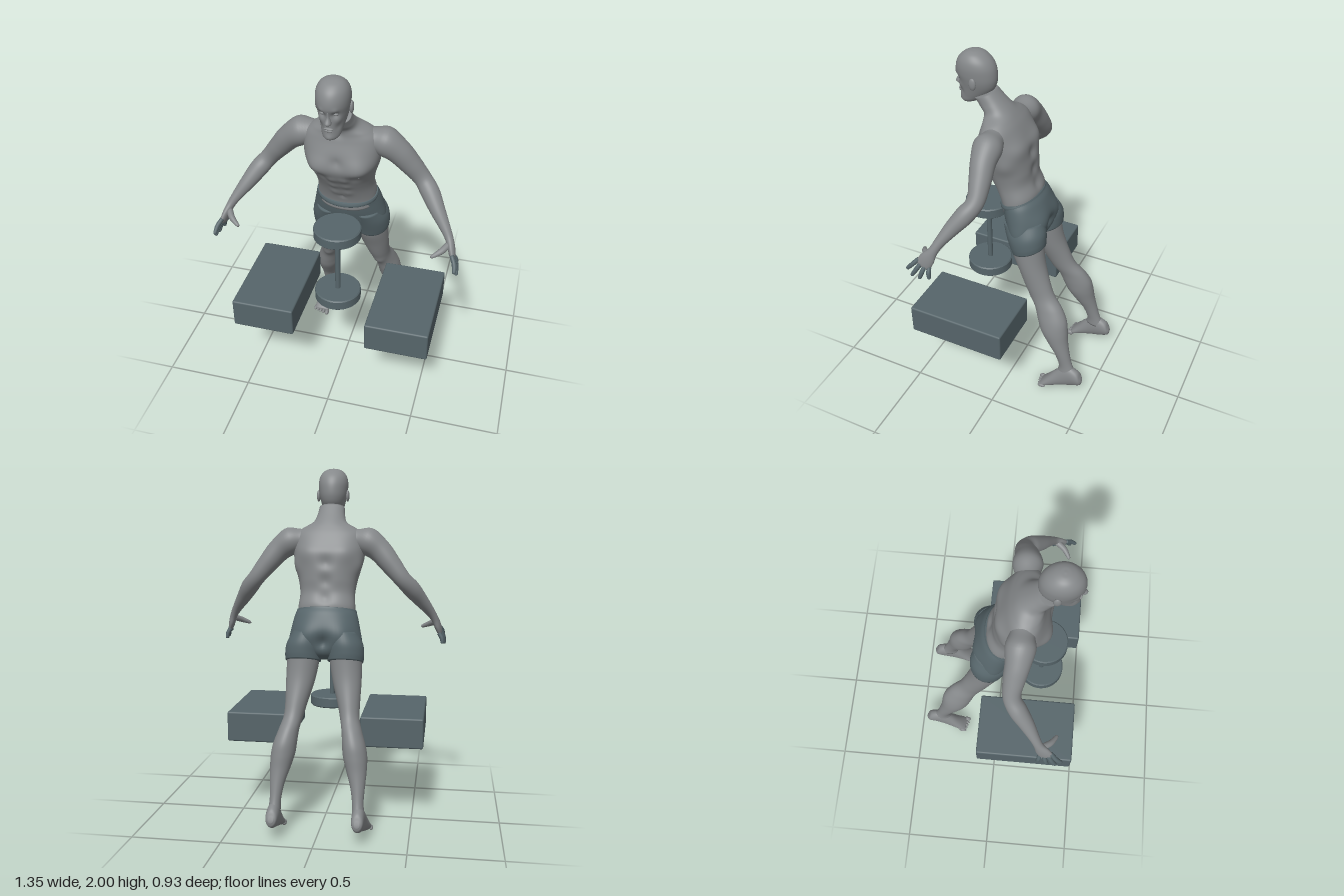
import * as THREE from 'three';
import { toCreasedNormals } from 'three/addons/utils/BufferGeometryUtils.js';
import { RoundedBoxGeometry } from 'three/addons/geometries/RoundedBoxGeometry.js';

const V = (x, y, z) => new THREE.Vector3(x, y, z);

// Smooth closed skin over rings { c: centre, u, v: half axes }; bumps are soft pushes [x, y, z, radius, amount]
function loft(rings, { sides = 32, steps = 6, bumps = [], power = 1 } = {}) {
  const curve = k => new THREE.CatmullRomCurve3(rings.map(r => r[k]), false, 'catmullrom', 0.5);
  const [C, U, W] = ['c', 'u', 'v'].map(curve);
  const count = (rings.length - 1) * steps;
  const pos = [], index = [];
  const soft = a => Math.sign(a) * Math.abs(a) ** power;
  for (let i = 0; i <= count; i++) {
    const t = i / count, c = C.getPoint(t), u = U.getPoint(t), v = W.getPoint(t);
    for (let j = 0; j < sides; j++) {
      const a = j / sides * Math.PI * 2;
      const d = u.clone().multiplyScalar(soft(Math.cos(a))).addScaledVector(v, soft(Math.sin(a)));
      const p = c.clone().add(d);
      let push = 0;
      for (const [x, y, z, r, amount] of bumps) {
        push += amount * Math.exp(-p.distanceToSquared(V(x, y, z)) / (r * r));
      }
      p.addScaledVector(d.normalize(), push);
      pos.push(p.x, p.y, p.z);
    }
  }
  const along = rings[1].c.clone().sub(rings[0].c);
  const flip = rings[0].u.clone().cross(rings[0].v).dot(along) < 0;
  const tri = (a, b, c) => flip ? index.push(a, c, b) : index.push(a, b, c);
  const first = pos.length / 3, last = first + 1;
  for (const r of [rings[0], rings[rings.length - 1]]) pos.push(r.c.x, r.c.y, r.c.z);
  for (let j = 0; j < sides; j++) {
    const k = (j + 1) % sides;
    for (let i = 0; i < count; i++) {
      const a = i * sides + j, b = i * sides + k;
      tri(a, b, b + sides);
      tri(a, b + sides, a + sides);
    }
    tri(first, k, j);
    tri(last, count * sides + j, count * sides + k);
  }
  const g = new THREE.BufferGeometry();
  g.setAttribute('position', new THREE.Float32BufferAttribute(pos, 3));
  g.setIndex(index);
  g.computeVertexNormals();
  return g;
}

// Rings from [centre x, half width, front z, front y, back z, back y]
const slices = (list, s = 1) => list.map(([x, w, zf, yf, zb, yb]) => ({
  c: V(x * s, (yf + yb) / 2, (zf + zb) / 2), u: V(w, 0, 0), v: V(0, (yf - yb) / 2, (zf - zb) / 2),
}));

// Rings square to a path of [x, y, z, half width, half thickness]
function limb(list, s = 1) {
  const pts = list.map(p => V(p[0] * s, p[1], p[2]));
  return pts.map((c, i) => {
    const t = pts[Math.min(i + 1, pts.length - 1)].clone().sub(pts[Math.max(i - 1, 0)]).normalize();
    const u = V(1, 0, 0).cross(t).normalize();
    const v = t.clone().cross(u);
    return { c, u: u.multiplyScalar(list[i][3]), v: v.multiplyScalar(list[i][4] ?? list[i][3]) };
  });
}

const both = list => list.flatMap(([x, ...r]) => x ? [[x, ...r], [-x, ...r]] : [[x, ...r]]);

export function createModel() {
  const model = new THREE.Group();
  const skin = new THREE.MeshStandardMaterial({ color: 0x85888a });
  skin.name = 'skin grey';
  const slate = new THREE.MeshStandardMaterial({ color: 0x56656a });
  slate.name = 'slate';
  const add = (name, geometry, material, x = 0, y = 0, z = 0) => {
    const m = new THREE.Mesh(geometry, material);
    m.name = name;
    m.position.set(x, y, z);
    model.add(m);
    return m;
  };
  const blob = (name, x, y, z, rx, ry, rz) =>
    add(name, new THREE.SphereGeometry(1, 20, 14), skin, x, y, z).scale.set(rx, ry, rz);

  // Torso and neck, with chest, belly, shoulder blade and spine relief
  add('torso', loft(slices([
    [0, 0.16, 0.12, 1.12, -0.075, 1.19], [0, 0.162, 0.128, 1.18, -0.075, 1.25],
    [0, 0.156, 0.16, 1.26, -0.047, 1.32], [0, 0.165, 0.2, 1.33, -0.043, 1.39],
    [0, 0.182, 0.245, 1.4, -0.035, 1.46], [0, 0.2, 0.265, 1.46, -0.02, 1.53],
    [0, 0.205, 0.255, 1.54, 0.005, 1.58], [0, 0.195, 0.235, 1.61, 0.035, 1.635],
    [0, 0.155, 0.228, 1.65, 0.06, 1.67], [0, 0.098, 0.235, 1.68, 0.09, 1.705],
    [0, 0.08, 0.262, 1.71, 0.135, 1.75], [0, 0.073, 0.29, 1.75, 0.185, 1.8],
  ]), { sides: 72, steps: 8, power: 0.9, bumps: both([
    [0.1, 1.47, 0.24, 0.06, 0.025], [0, 1.5, 0.27, 0.028, -0.014], [0.09, 1.395, 0.235, 0.035, -0.01],
    [0.035, 1.38, 0.24, 0.024, 0.007], [0.035, 1.32, 0.2, 0.024, 0.007], [0.035, 1.26, 0.165, 0.024, 0.007],
    [0, 1.225, 0.145, 0.012, -0.008], [0, 1.48, -0.03, 0.035, -0.015], [0, 1.38, -0.045, 0.035, -0.014],
    [0, 1.28, -0.055, 0.035, -0.012], [0.1, 1.53, 0.01, 0.06, 0.014], [0.17, 1.45, 0.05, 0.05, 0.012],
    [0, 1.655, 0.235, 0.02, -0.012],
  ]) }), skin);

  // Head
  add('head', loft(slices([
    [0, 0.022, 0.362, 1.7, 0.32, 1.705], [0, 0.044, 0.381, 1.715, 0.275, 1.725], [0, 0.056, 0.384, 1.75, 0.225, 1.76],
    [0, 0.068, 0.386, 1.8, 0.19, 1.8], [0, 0.078, 0.39, 1.84, 0.176, 1.84],
    [0, 0.084, 0.402, 1.88, 0.175, 1.88], [0, 0.085, 0.399, 1.92, 0.183, 1.92],
    [0, 0.077, 0.384, 1.955, 0.203, 1.955], [0, 0.058, 0.356, 1.982, 0.234, 1.982],
    [0, 0.032, 0.325, 1.996, 0.265, 1.996], [0, 0.004, 0.299, 2, 0.291, 2],
  ]), { sides: 72, steps: 8, bumps: both([
    [0.032, 1.848, 0.38, 0.017, -0.012], [0.032, 1.873, 0.385, 0.014, 0.005],
    [0.045, 1.815, 0.365, 0.02, 0.005], [0.04, 1.775, 0.36, 0.02, -0.005], [0, 1.722, 0.38, 0.018, 0.006],
  ]) }), skin);
  add('nose', loft(slices([
    [0, 0.007, 0.398, 1.865, 0.37, 1.865], [0, 0.009, 0.4, 1.835, 0.37, 1.835],
    [0, 0.017, 0.415, 1.808, 0.37, 1.805], [0, 0.012, 0.403, 1.797, 0.37, 1.795],
  ]), { sides: 20 }), skin);
  blob('upperLip', 0, 1.773, 0.385, 0.024, 0.006, 0.008);
  blob('lowerLip', 0, 1.762, 0.384, 0.021, 0.007, 0.008);

  // Shorts: seat, waistband
  add('shortsSeat', loft(slices([
    [0, 0.168, 0.135, 1.17, -0.083, 1.237], [0, 0.18, 0.122, 1.14, -0.11, 1.2],
    [0, 0.195, 0.106, 1.08, -0.135, 1.13], [0, 0.208, 0.08, 1.01, -0.14, 1.05], [0, 0.19, 0.045, 0.95, -0.125, 0.985],
    [0, 0.08, 0.0, 0.925, -0.09, 0.945],
  ]), { sides: 64, bumps: both([
    [0.09, 1.08, -0.13, 0.07, 0.022], [0, 1.05, -0.14, 0.035, -0.03], [0, 1.0, 0.08, 0.04, 0.012],
  ]) }), slate);
  const band = loft(slices([
    [0, 0.171, 0.138, 1.15, -0.09, 1.217], [0, 0.172, 0.139, 1.16, -0.088, 1.23], [0, 0.168, 0.136, 1.172, -0.083, 1.24],
  ]), { sides: 64 });
  add('waistband', band, slate);

  // Paired parts
  for (const s of [1, -1]) {
    const side = s > 0 ? 'left' : 'right';

    blob(side + 'Ear', s * 0.085, 1.845, 0.272, 0.011, 0.033, 0.02);
    blob(side + 'Eye', s * 0.032, 1.848, 0.367, 0.015, 0.009, 0.012);
    add(side + 'Nipple', new THREE.TorusGeometry(0.014, 0.003, 8, 20), skin, s * 0.112, 1.437, 0.247)
      .rotation.set(0.35, s * 0.35, 0);

    // Shorts leg
    add(side + 'ShortsLeg', loft(slices([
      [0.1, 0.085, 0.095, 1.07, -0.135, 1.11], [0.114, 0.102, 0.068, 1.0, -0.158, 1.05],
      [0.12, 0.103, 0.045, 0.94, -0.163, 1.0], [0.12, 0.1, 0.03, 0.898, -0.162, 0.962],
    ], s), { sides: 40 }), slate);

    // Leg from thigh to ankle
    add(side + 'Leg', loft(slices([
      [0.12, 0.092, 0.04, 0.96, -0.145, 1.02], [0.123, 0.09, 0.022, 0.885, -0.15, 0.945],
      [0.133, 0.08, -0.02, 0.79, -0.168, 0.84], [0.147, 0.063, -0.062, 0.69, -0.205, 0.73],
      [0.158, 0.054, -0.102, 0.62, -0.24, 0.65], [0.175, 0.056, -0.137, 0.56, -0.295, 0.585],
      [0.19, 0.064, -0.162, 0.49, -0.332, 0.52], [0.2, 0.066, -0.187, 0.43, -0.346, 0.455],
      [0.211, 0.055, -0.235, 0.36, -0.355, 0.38], [0.221, 0.04, -0.283, 0.29, -0.372, 0.3],
      [0.226, 0.031, -0.314, 0.21, -0.394, 0.22], [0.23, 0.034, -0.31, 0.16, -0.425, 0.15],
    ], s), { sides: 40, bumps: [[s * 0.158, 0.62, -0.11, 0.03, 0.008]] }), skin);

    // Foot from heel to ball, then toes
    add(side + 'Foot', loft(slices([
      [0.232, 0.014, -0.456, 0.145, -0.466, 0.118], [0.232, 0.031, -0.43, 0.185, -0.456, 0.09],
      [0.232, 0.036, -0.36, 0.205, -0.41, 0.068], [0.237, 0.038, -0.3, 0.15, -0.345, 0.048],
      [0.242, 0.043, -0.255, 0.095, -0.28, 0.026], [0.244, 0.047, -0.225, 0.058, -0.238, 0.014],
      [0.245, 0.042, -0.21, 0.04, -0.215, 0.012],
    ], s), { sides: 32 }), skin);
    for (let i = 0; i < 5; i++) {
      const r = i ? 0.0095 : 0.0135;
      blob(side + 'Toe' + (i + 1), s * (0.208 + i * 0.0192 + (i ? 0.004 : 0)), 0.02 + i * 0.002,
        -0.207 - i * 0.005, r, r * 1.2, 0.024);
    }

    // Arm from shoulder to palm
    add(side + 'Arm', loft(limb([
      [0.14, 1.595, 0.125, 0.065], [0.215, 1.592, 0.12, 0.078], [0.29, 1.538, 0.113, 0.067],
      [0.355, 1.462, 0.1, 0.058], [0.42, 1.382, 0.095, 0.048], [0.47, 1.325, 0.13, 0.05],
      [0.525, 1.252, 0.185, 0.04], [0.575, 1.185, 0.23, 0.028], [0.603, 1.14, 0.255, 0.027, 0.022],
      [0.62, 1.1, 0.278, 0.04, 0.02], [0.632, 1.066, 0.298, 0.042, 0.016], [0.637, 1.05, 0.306, 0.034, 0.01],
    ], s), { sides: 36 }), skin);

    // Thumb and spread fingers
    add(side + 'Thumb', loft(limb([
      [0.608, 1.12, 0.27, 0.018], [0.578, 1.102, 0.315, 0.017], [0.55, 1.088, 0.338, 0.013],
      [0.53, 1.078, 0.35, 0.009], [0.524, 1.074, 0.353, 0.002],
    ], s), { sides: 16 }), skin);
    const tips = [[0.655, 1.02, 0.388], [0.664, 0.988, 0.358], [0.662, 0.982, 0.312], [0.65, 0.99, 0.258]];
    tips.forEach(([x, y, z], i) => {
      const a = V(0.63, 1.088 - i * 0.0125, 0.326 - i * 0.0195), b = V(x, y, z);
      const path = [[0, 0.012], [0.45, 0.0125], [0.85, 0.0105], [0.96, 0.008], [1, 0.002]].map(([t, r]) => {
        const p = a.clone().lerp(b, t);
        return [p.x + 0.03 * t * (1 - t), p.y, p.z, r];
      });
      add(side + 'Finger' + (i + 1), loft(limb(path, s), { sides: 16 }), slate);
    });

    // Side block
    add(side + 'Block', new RoundedBoxGeometry(0.355, 0.174, 0.566, 3, 0.01), slate, s * 0.384, 0.535, 0.186);
  }

  // Upright bar with a disc at each end
  const disc = toCreasedNormals(new THREE.LatheGeometry([
    [0, -0.031], [0.124, -0.031], [0.13, -0.025], [0.13, 0.025], [0.124, 0.031], [0, 0.031],
  ].map(p => new THREE.Vector2(...p)), 48), 0.6);
  add('upperDisc', disc, slate, 0, 1.067, 0.248);
  add('lowerDisc', disc, slate, 0, 0.639, 0.248);
  add('bar', new THREE.CylinderGeometry(0.015, 0.015, 0.4, 24), slate, 0, 0.853, 0.248);

  return model;
}
